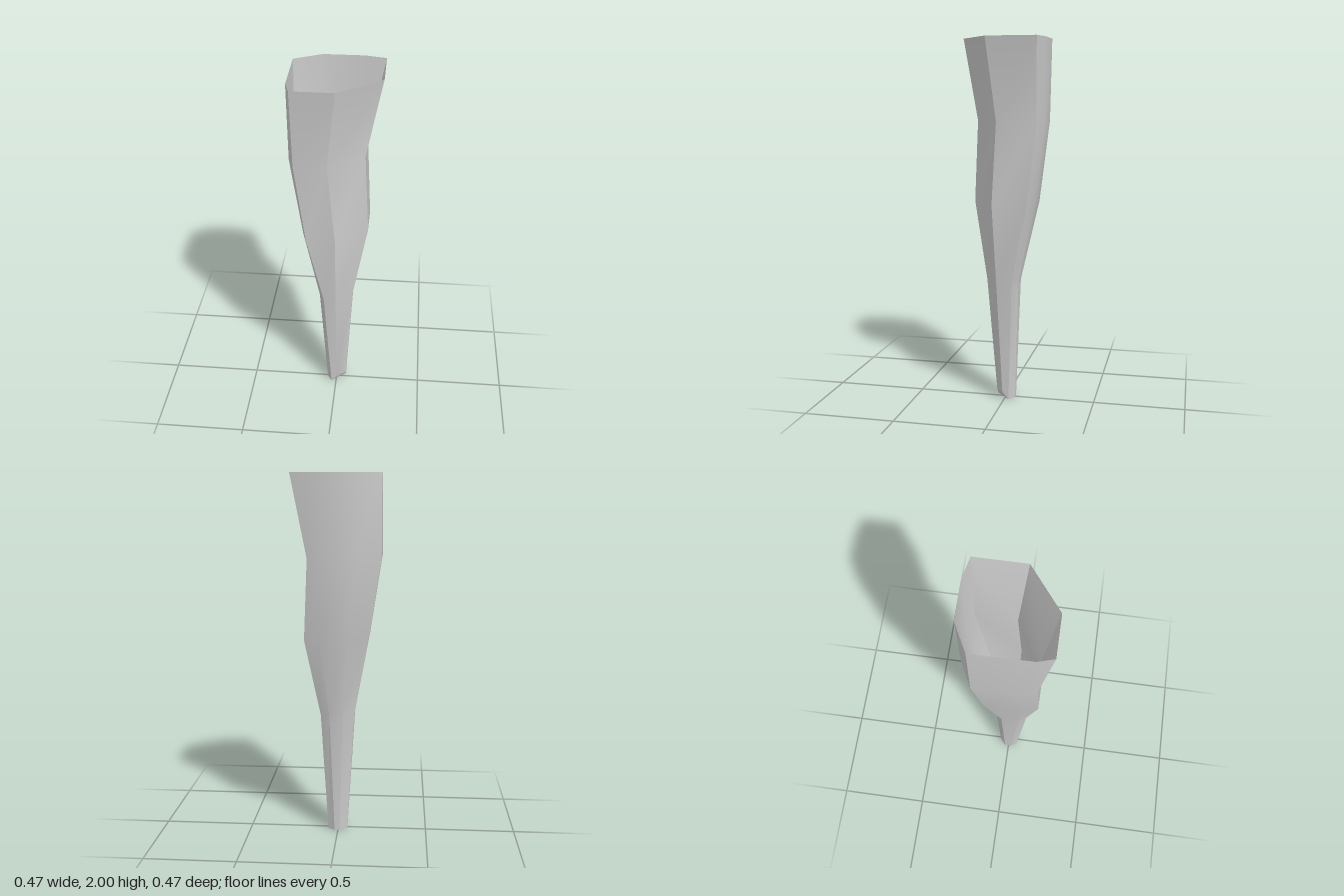
import * as THREE from 'three';
import { toCreasedNormals } from 'three/addons/utils/BufferGeometryUtils.js';

// Irregular eight-sided cross-sections, bottom to top: [x, z] from the back right, round by the left
const rings = [
  { y: 0, pts: [[0.056, -0.025], [0.018, -0.055], [-0.01, -0.055], [-0.052, -0.022], [-0.052, 0.018], [-0.027, 0.052], [0.003, 0.052], [0.056, 0.01]] },
  { y: 0.68, pts: [[0.095, -0.05], [0.045, -0.078], [-0.028, -0.078], [-0.09, -0.035], [-0.09, 0.065], [-0.064, 0.108], [0.004, 0.108], [0.095, 0.036]] },
  { y: 1.12, pts: [[0.174, -0.15], [0.09, -0.175], [-0.062, -0.175], [-0.17, -0.115], [-0.17, 0.105], [-0.148, 0.175], [0.006, 0.175], [0.174, 0.042]] },
  { y: 1.56, pts: [[0.151, -0.195], [0.06, -0.222], [-0.112, -0.222], [-0.237, -0.158], [-0.237, 0.09], [-0.207, 0.167], [-0.035, 0.167], [0.151, 0.022]] },
  { y: 2, pts: [[0.236, -0.21], [0.125, -0.235], [-0.09, -0.235], [-0.236, -0.16], [-0.232, 0.15], [-0.207, 0.233], [0.012, 0.233], [0.236, 0.061]] },
];
// The tip is cut at a slant: two front right corners sit higher
const tipHeights = [0, 0, 0, 0.005, 0.01, 0.005, 0.04, 0.04];

function shellGeometry() {
  const sides = 8, positions = [], index = [];
  rings.forEach(({ y, pts }, r) =>
    pts.forEach(([x, z], i) => positions.push(x, r === 0 ? tipHeights[i] : y, z)));

  // Side walls
  for (let r = 0; r < rings.length - 1; r++) {
    for (let i = 0; i < sides; i++) {
      const j = (i + 1) % sides;
      const a = r * sides + i, b = r * sides + j;
      index.push(a, b, b + sides, a, b + sides, a + sides);
    }
  }
  // Closed tip; the top stays open
  for (let i = 1; i < sides - 1; i++) index.push(0, i + 1, i);

  const geometry = new THREE.BufferGeometry();
  geometry.setAttribute('position', new THREE.Float32BufferAttribute(positions, 3));
  geometry.setIndex(index);
  return toCreasedNormals(geometry, Math.PI / 6);
}

export function createModel() {
  const group = new THREE.Group();
  group.name = 'hollowSpike';
  const material = new THREE.MeshStandardMaterial({ color: 0xcccccc, side: THREE.DoubleSide });
  const shell = new THREE.Mesh(shellGeometry(), material);
  shell.name = 'taperedShell';
  group.add(shell);
  return group;
}
